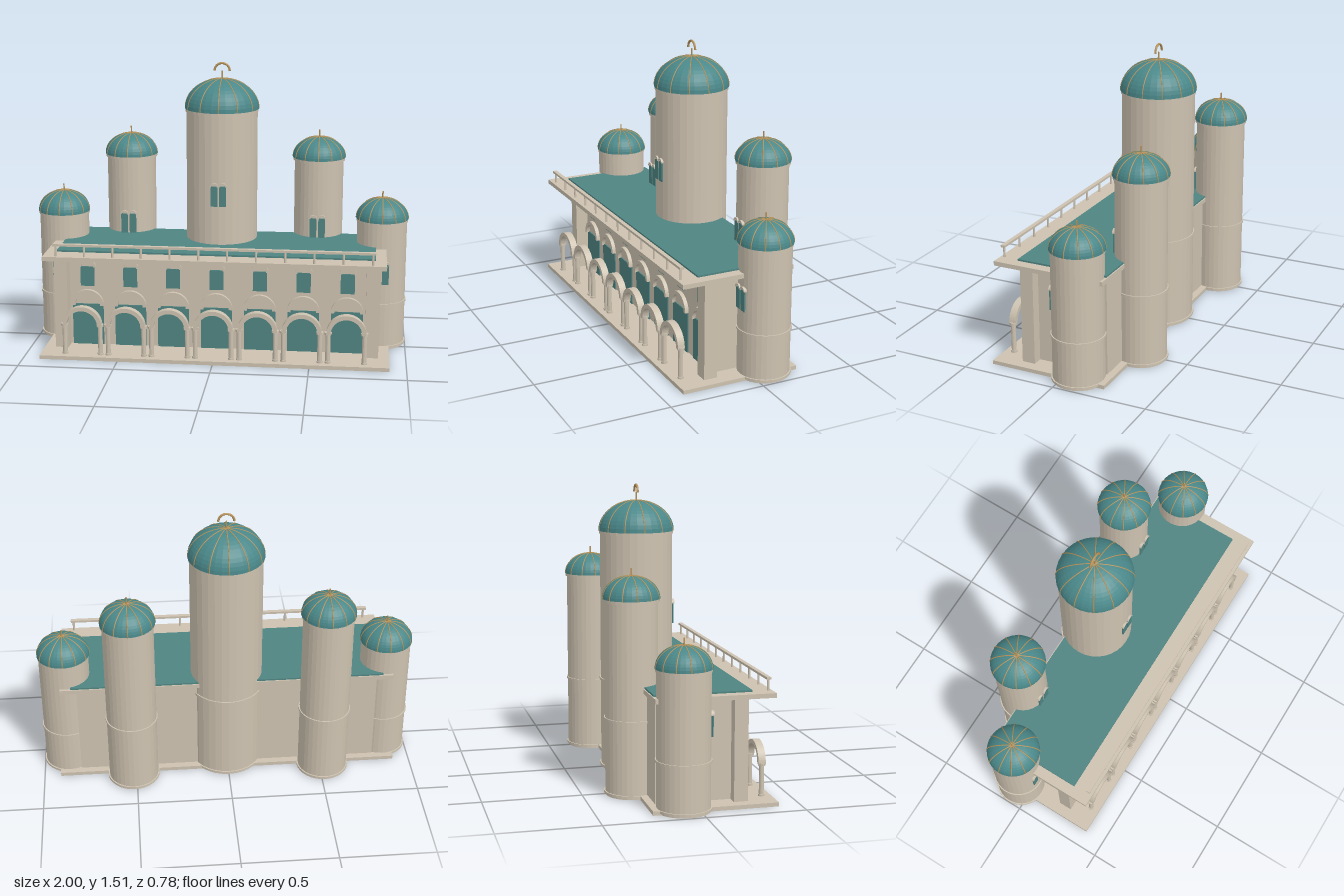
import * as THREE from 'three';

const mat = (name, color, flat = false) => {
  const m = new THREE.MeshStandardMaterial({ color, flatShading: flat });
  m.name = name;
  return m;
};

export function createModel() {
  const stone = mat('stone', 0xcdc2b0, true);
  const teal = mat('teal', 0x4f8482, true);
  const domeTeal = mat('domeTeal', 0x4a888a, true);
  const gold = mat('gold', 0xb8945a);
  const root = new THREE.Group();
  root.name = 'domedHall';

  const add = (parent, name, geo, material, x = 0, y = 0, z = 0) => {
    const m = new THREE.Mesh(geo, material);
    m.name = name;
    m.position.set(x, y, z);
    parent.add(m);
    return m;
  };
  // Box given by its min and max corners
  const box = (parent, name, material, x0, x1, y0, y1, z0, z1) =>
    add(parent, name, new THREE.BoxGeometry(x1 - x0, y1 - y0, z1 - z0), material,
      (x0 + x1) / 2, (y0 + y1) / 2, (z0 + z1) / 2);
  // Upright cylinder between two heights
  const drum = (parent, name, material, r, y0, y1, x = 0, z = 0, sides = 32) =>
    add(parent, name, new THREE.CylinderGeometry(r, r, y1 - y0, sides), material, x, (y0 + y1) / 2, z);
  // Half-ring arch standing on its springing line
  const arch = (parent, name, outer, inner, depth, x, y, z) => {
    const s = new THREE.Shape();
    s.absarc(0, 0, outer, 0, Math.PI, false);
    s.absarc(0, 0, inner, Math.PI, 0, true);
    s.closePath();
    const g = new THREE.ExtrudeGeometry(s, { depth, bevelEnabled: false, curveSegments: 14 });
    return add(parent, name, g, stone, x, y, z);
  };

  // Main hall
  box(root, 'basePlinth', stone, -0.912, 0.912, 0, 0.02, -0.237, 0.39);
  box(root, 'hallBody', stone, -0.8, 0.8, 0.02, 0.532, -0.2, 0.18);
  box(root, 'cornice', stone, -0.885, 0.885, 0.532, 0.555, -0.22, 0.38);
  box(root, 'roofDeck', teal, -0.83, 0.83, 0.555, 0.564, -0.214, 0.275);
  for (const s of [-1, 1]) {
    add(root, 'cornerPier', new THREE.BoxGeometry(0.07, 0.512, 0.07), stone, s * 0.82, 0.276, 0.215);
  }

  // Roof railing
  const railing = new THREE.Group();
  railing.name = 'railing';
  root.add(railing);
  box(railing, 'handRail', stone, -0.83, 0.83, 0.61, 0.622, 0.348, 0.37);
  for (let i = 0; i < 12; i++) {
    drum(railing, 'railPost', stone, 0.006, 0.555, 0.612, -0.815 + i * 1.63 / 11, 0.359, 8);
  }

  // Seven bays: door, window and free-standing arch on two columns
  for (let i = -3; i <= 3; i++) {
    const bay = new THREE.Group();
    bay.name = 'bay';
    bay.position.x = i * 0.2295;
    root.add(bay);
    box(bay, 'door', teal, -0.083, 0.083, 0.02, 0.245, 0.178, 0.186);
    arch(bay, 'doorArch', 0.086, 0.067, 0.025, 0, 0.24, 0.175);
    box(bay, 'window', teal, -0.037, 0.037, 0.345, 0.452, 0.178, 0.186);
    arch(bay, 'windowArch', 0.046, 0.033, 0.02, 0, 0.45, 0.175);
    arch(bay, 'arcadeArch', 0.103, 0.081, 0.037, 0, 0.179, 0.324);
    for (const s of [-1, 1]) {
      const x = s * 0.094;
      drum(bay, 'column', stone, 0.0125, 0.02, 0.178, x, 0.342, 12);
      drum(bay, 'columnBase', stone, 0.016, 0.02, 0.03, x, 0.342, 12);
      drum(bay, 'capital', stone, 0.019, 0.174, 0.187, x, 0.342, 12);
    }
  }

  // Domed tower with bands, ribs, finial and a pair of front windows
  const tower = (name, x, z, r, top, bandY, domeR, domeH, tip, winY) => {
    const t = new THREE.Group();
    t.name = name;
    t.position.set(x, 0, z);
    root.add(t);
    drum(t, 'towerShaft', stone, r, 0, top);
    drum(t, 'towerFoot', stone, r + 0.007, 0.008, 0.02);
    drum(t, 'towerBand', stone, r + 0.006, bandY - 0.006, bandY + 0.006);
    drum(t, 'domeCollar', stone, domeR - 0.003, top - 0.015, top);

    const dome = new THREE.SphereGeometry(domeR, 32, 12, 0, Math.PI * 2, 0, Math.PI / 2);
    dome.scale(1, domeH / domeR, 1);
    add(t, 'dome', dome, domeTeal, 0, top, 0);
    const under = add(t, 'domeUnderside', new THREE.CircleGeometry(domeR, 32), domeTeal, 0, top, 0);
    under.rotation.x = Math.PI / 2;

    const pts = [];
    for (let i = 0; i <= 12; i++) {
      const a = i / 12 * Math.PI / 2;
      pts.push(new THREE.Vector3(Math.cos(a) * domeR * 0.997, Math.sin(a) * domeH * 0.997, 0));
    }
    const rib = new THREE.TubeGeometry(new THREE.CatmullRomCurve3(pts), 20, 0.0028, 6);
    for (let i = 0; i < 12; i++) {
      add(t, 'domeRib', rib, gold, 0, top, 0).rotation.y = i * Math.PI / 6;
    }
    drum(t, 'finial', gold, 0.004, top + domeH - 0.01, tip, 0, 0, 8);

    for (const s of [-1, 1]) {
      const wx = s * 0.023;
      box(t, 'towerWindow', teal, wx - 0.018, wx + 0.018, winY, winY + 0.108, r - 0.003, r + 0.004);
      arch(t, 'towerWindowArch', 0.022, 0.015, 0.016, wx, winY + 0.105, r - 0.008);
    }
    return t;
  };

  const centre = tower('centralTower', 0, -0.105, 0.19, 1.267, 0.48, 0.198, 0.158, 1.465, 0.772);
  for (const s of [-1, 1]) {
    tower('middleTower', s * 0.515, -0.25, 0.132, 0.984, 0.388, 0.143, 0.112, 1.133, 0.562);
    tower('cornerTower', s * 0.861, -0.075, 0.132, 0.694, 0.249, 0.139, 0.112, 0.84, 0.362);
  }

  // Open crescent above the central dome
  add(centre, 'crescent', new THREE.TorusGeometry(0.04, 0.006, 8, 20, Math.PI), gold, 0, 1.465, 0);

  return root;
}
